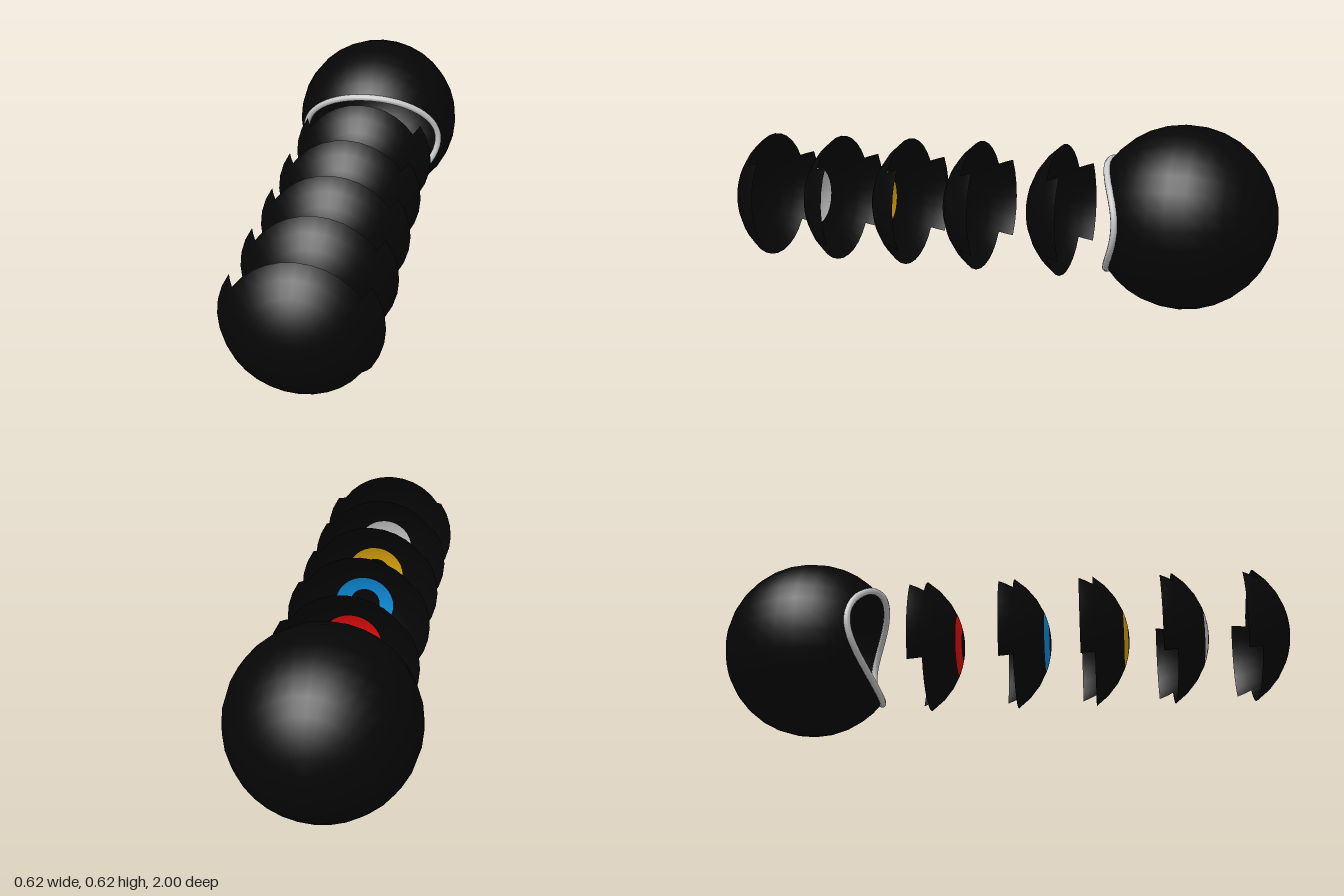
import * as THREE from 'three';

const STEP = Math.PI / 16;          // one facet of the 32-sided spheres
const CENTRE_Y = 0.311;
const BALL_R = 0.311, BALL_Z = -0.69;
const SHELL_R = 0.277;

const paint = (color) => new THREE.MeshStandardMaterial({ color, side: THREE.DoubleSide });
const black = paint(0x060606);
const grey = paint(0xcccccc);

function add(parent, name, geometry, material) {
  const mesh = new THREE.Mesh(geometry, material);
  mesh.name = name;
  parent.add(mesh);
  return mesh;
}

// Spherical band round the z axis, counted in facets away from the front pole
function band(from, to, phiStart = 0, phiSteps = 32) {
  return new THREE.SphereGeometry(SHELL_R, phiSteps, to - from,
    phiStart, phiSteps * STEP, from * STEP, (to - from) * STEP).rotateX(Math.PI / 2);
}

// Curved face shell: pupil, iris, outer cap and two side flaps
function makeShell(name, frontZ, irisMaterial) {
  const shell = new THREE.Group();
  shell.name = name;
  add(shell, 'pupil', band(0, 1), black);
  add(shell, 'iris', band(1, 2), irisMaterial);
  add(shell, 'cap', band(2, 5), black);
  add(shell, 'rightFlap', band(5, 6, -3 * STEP, 6), black);
  add(shell, 'leftFlap', band(5, 6, Math.PI - 3 * STEP, 6), black);
  shell.position.set(0, CENTRE_Y, frontZ - SHELL_R);
  return shell;
}

// Oval edge of the ball's opening, lying on a sphere of radius r
function openingPoint(a, r) {
  const x = 0.262 * Math.cos(a), y = 0.188 * Math.sin(a);
  return new THREE.Vector3(x, y, Math.sqrt(r * r - x * x - y * y));
}

// Ball whose rings start at the oval opening and blend into regular rings
function ballGeometry() {
  const rows = 13, blend = 3;
  const g = new THREE.SphereGeometry(1, 32, rows);
  const p = g.attributes.position, n = g.attributes.normal;
  for (let i = 0; i < p.count; i++) {
    const row = Math.floor(i / 33), phi = (i % 33) * STEP;
    const edge = openingPoint(Math.atan2(Math.sin(phi) / 0.188, Math.cos(phi) / 0.262), BALL_R);
    const edgeTheta = Math.acos(edge.z / BALL_R);
    const theta = row < blend
      ? THREE.MathUtils.lerp(edgeTheta, 6 * STEP, row / blend)
      : (6 + row - blend) * STEP;
    const v = new THREE.Vector3(
      Math.sin(theta) * Math.cos(phi), Math.sin(theta) * Math.sin(phi), Math.cos(theta));
    n.setXYZ(i, v.x, v.y, v.z);
    p.setXYZ(i, v.x * BALL_R, v.y * BALL_R, v.z * BALL_R);
  }
  // The built-in sphere leaves out the pole triangles, so index every quad
  const index = [];
  for (let r = 0; r < rows; r++) {
    for (let s = 0; s < 32; s++) {
      const a = r * 33 + s, b = a + 1, c = a + 33, d = c + 1;
      index.push(a, c, b);
      if (r < rows - 1) index.push(b, c, d);
    }
  }
  g.setIndex(index);
  return g;
}

export function createModel() {
  const model = new THREE.Group();
  model.name = 'ballWithFaceShells';

  // Hollow ball with a rimmed opening at the front
  const head = new THREE.Group();
  head.name = 'head';
  head.position.set(0, CENTRE_Y, BALL_Z);
  add(head, 'ball', ballGeometry(), black);
  const edge = Array.from({ length: 32 }, (_, i) => openingPoint(i * STEP, 0.314));
  const curve = new THREE.CatmullRomCurve3(edge, true);
  add(head, 'openingRim', new THREE.TubeGeometry(curve, 64, 0.012, 8, true), grey);
  model.add(head);

  // Row of interchangeable shells in front of the ball
  model.add(
    makeShell('plainShell', 1.0, black),
    makeShell('whiteEyeShell', 0.72, grey),
    makeShell('yellowEyeShell', 0.443, paint(0xe0a60c)),
    makeShell('blueEyeShell', 0.167, paint(0x0e8fe0)),
    makeShell('redEyeShell', -0.143, paint(0xe80c0c)),
  );
  return model;
}
